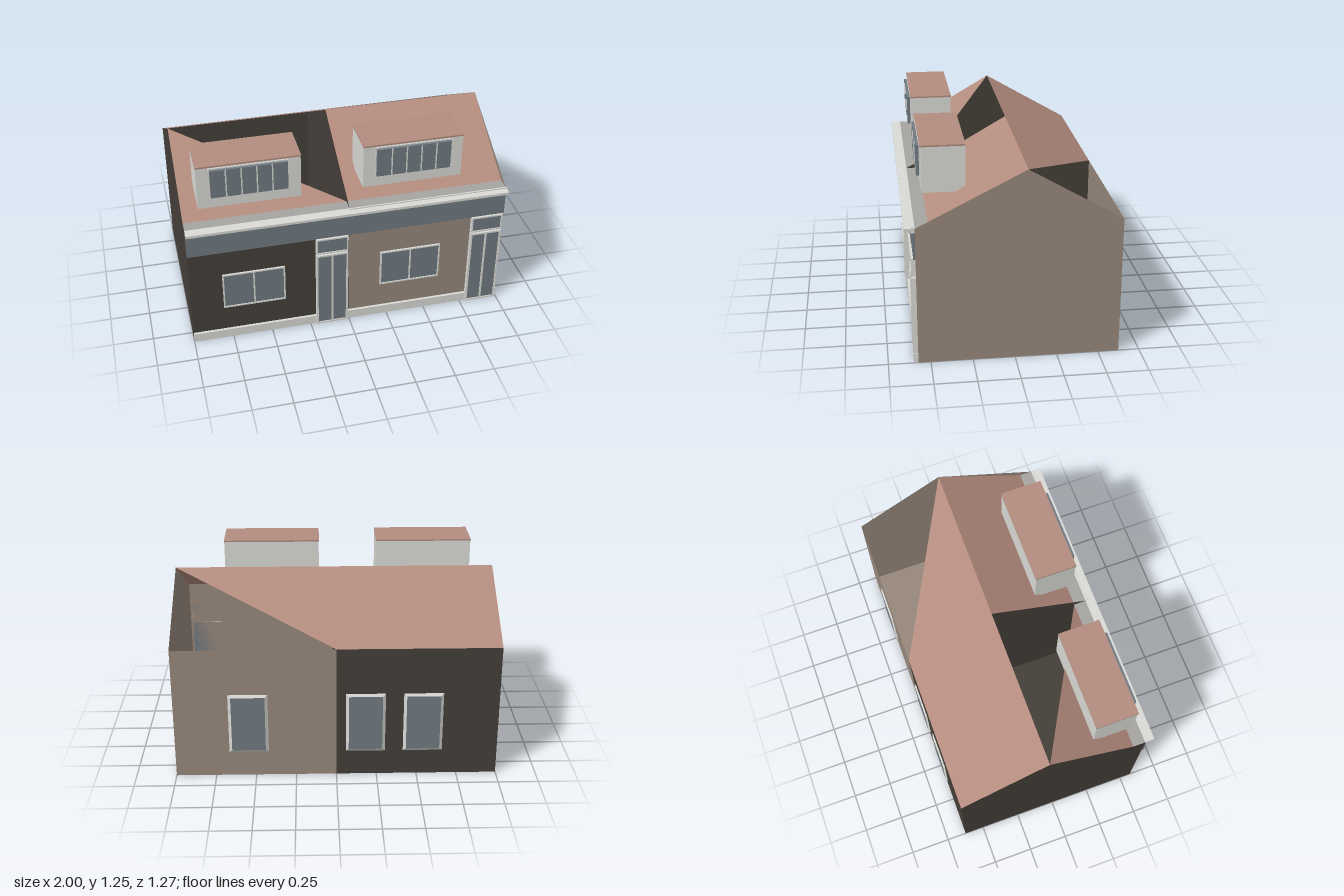
import * as THREE from 'three';

const mat = (name, color) => {
  const m = new THREE.MeshStandardMaterial({ color, side: THREE.DoubleSide });
  m.name = name;
  return m;
};

export function createModel() {
  const taupe = mat('taupe wall', 0x97887c);
  const charcoal = mat('charcoal wall', 0x443f38);
  const roofTile = mat('roof tile', 0xb48c7f);
  const white = mat('off white trim', 0xdadbd6);
  const slate = mat('slate glass', 0x717a82);
  const grey = mat('grey gutter', 0xa6a5a2);

  const model = new THREE.Group();
  model.name = 'pairedCottages';

  const group = (name) => {
    const g = new THREE.Group();
    g.name = name;
    model.add(g);
    return g;
  };

  // box given by its minimum and maximum on each axis
  const box = (parent, name, m, x0, x1, y0, y1, z0, z1) => {
    const mesh = new THREE.Mesh(new THREE.BoxGeometry(x1 - x0, y1 - y0, z1 - z0), m);
    mesh.position.set((x0 + x1) / 2, (y0 + y1) / 2, (z0 + z1) / 2);
    mesh.name = name;
    parent.add(mesh);
  };

  // flat convex face from its corners, counter-clockwise from outside
  const face = (parent, name, m, corners) => {
    const g = new THREE.BufferGeometry();
    const pos = [];
    for (let i = 1; i < corners.length - 1; i++) pos.push(...corners[0], ...corners[i], ...corners[i + 1]);
    g.setAttribute('position', new THREE.Float32BufferAttribute(pos, 3));
    g.computeVertexNormals();
    const mesh = new THREE.Mesh(g, m);
    mesh.name = name;
    parent.add(mesh);
  };

  const F = 0.573, E = 0.495, B = -0.625, R = -0.067; // front, front eave, back, ridge
  const eave = 0.855, top = 1.18;

  // gable outline in (z, y)
  const profile = [[F, 0], [B, 0], [B, eave], [R, top], [E, eave], [F, eave]];
  const gable = (parent, name, m, x) => {
    const pts = profile.map(([z, y]) => [x, y, z]);
    // start at the ridge so the fan stays inside the outline
    const fan = [...pts.slice(3), ...pts.slice(0, 3)];
    face(parent, name, m, x < 0 ? fan.reverse() : fan);
  };

  // wall shells
  for (const [name, m, a, b] of [['rightHouse', charcoal, -1, 0], ['leftHouse', taupe, 0, 1]]) {
    const g = group(name);
    face(g, 'frontWall', m, [[a, 0, F], [b, 0, F], [b, eave, F], [a, eave, F]]);
    face(g, 'backWall', m, [[b, 0, B], [a, 0, B], [a, eave, B], [b, eave, B]]);
    face(g, 'floor', m, [[a, 0, B], [b, 0, B], [b, 0, F], [a, 0, F]]);
    gable(g, 'gableWall', m, a < 0 ? -1 : 1);
  }
  gable(group('partyWall'), 'partition', charcoal, 0);

  // roof slopes: one full and one half-open bay on each side
  const roof = group('roof');
  const ridge = (x) => [x, top, R], front = (x) => [x, eave, E], back = (x) => [x, eave, B];
  face(roof, 'frontSlope', roofTile, [front(0), front(1), ridge(1), ridge(0)]);
  face(roof, 'frontHalfSlope', roofTile, [front(-1), front(0), ridge(-1)]);
  face(roof, 'backSlope', roofTile, [back(0), back(-1), ridge(-1), ridge(0)]);
  face(roof, 'backHalfSlope', roofTile, [back(0), ridge(0), ridge(1)]);
  face(roof, 'gutterTop', grey, [[-1, eave, F], [1, eave, F], front(1), front(-1)]);

  // shopfront band, cornice and plinth
  const trim = group('frontTrim');
  box(trim, 'fascia', slate, -1, 1, 0.665, 0.828, F, 0.586);
  box(trim, 'corniceLower', white, -1, 1, 0.828, 0.84, F, 0.598);
  box(trim, 'cornice', white, -1, 1, 0.84, 0.857, F, 0.635);
  box(trim, 'corniceBead', white, 0, 1, 0.857, 0.864, 0.583, 0.592);
  box(trim, 'plinthRight', white, -1, -0.215, 0, 0.06, F, 0.59);
  box(trim, 'plinthLeft', white, -0.01, 0.79, 0, 0.06, F, 0.59);
  box(trim, 'plinthEnd', white, 0.99, 1, 0, 0.06, F, 0.59);

  // rectangular frame with equal panes and mullions
  const glazed = (g, x0, x1, y0, y1, z0, z1, panes, t) => {
    box(g, 'glass', slate, x0 + t / 2, x1 - t / 2, y0 + t / 2, y1 - t / 2, z0, z1 - 0.006);
    box(g, 'sill', white, x0, x1, y0, y0 + t, z0, z1);
    box(g, 'head', white, x0, x1, y1 - t, y1, z0, z1);
    for (let i = 0; i <= panes; i++) {
      const x = x0 + ((x1 - x0 - t) * i) / panes;
      box(g, 'upright', white, x, x + t, y0 + t, y1 - t, z0, z1);
    }
  };

  // each house front: wide window, double door with transom, dormer
  for (const o of [-1, 0]) {
    glazed(group('frontWindow'), o + 0.202, o + 0.592, 0.235, 0.49, F, 0.585, 2, 0.009);
    const door = group('frontDoor');
    glazed(door, o + 0.787, o + 0.99, 0, 0.545, F, 0.6, 2, 0.012);
    glazed(door, o + 0.787, o + 0.99, 0.555, 0.668, F, 0.6, 1, 0.01);

    const dormer = group('dormer');
    const x0 = o + 0.096, x1 = o + 0.716;
    box(dormer, 'dormerBody', white, x0, x1, 0.957, 1.237, 0.257, 0.515);
    box(dormer, 'dormerRoof', roofTile, x0 - 0.002, x1 + 0.002, 1.237, 1.247, 0.255, 0.52);
    box(dormer, 'dormerSurround', white, o + 0.167, o + 0.643, 1.028, 1.23, 0.515, 0.522);
    box(dormer, 'dormerGlass', slate, o + 0.175, o + 0.635, 1.037, 1.222, 0.522, 0.539);
    for (let i = 1; i < 5; i++) {
      const x = o + 0.175 + 0.092 * i;
      box(dormer, 'dormerMullion', white, x - 0.004, x + 0.004, 1.037, 1.222, 0.539, 0.541);
    }
  }

  // rear windows with splayed frames
  for (const cx of [0.542, -0.18, -0.535]) {
    const g = group('backWindow');
    const ring = (w, h, z) => [[cx + w, 0.36 - h, z], [cx - w, 0.36 - h, z], [cx - w, 0.36 + h, z], [cx + w, 0.36 + h, z]];
    const outer = ring(0.122, 0.197, B), inner = ring(0.104, 0.18, -0.635);
    for (let i = 0; i < 4; i++) {
      const j = (i + 1) % 4;
      face(g, 'splayedFrame', white, [outer[i], outer[j], inner[j], inner[i]]);
    }
    face(g, 'glass', slate, inner);
  }
  return model;
}
